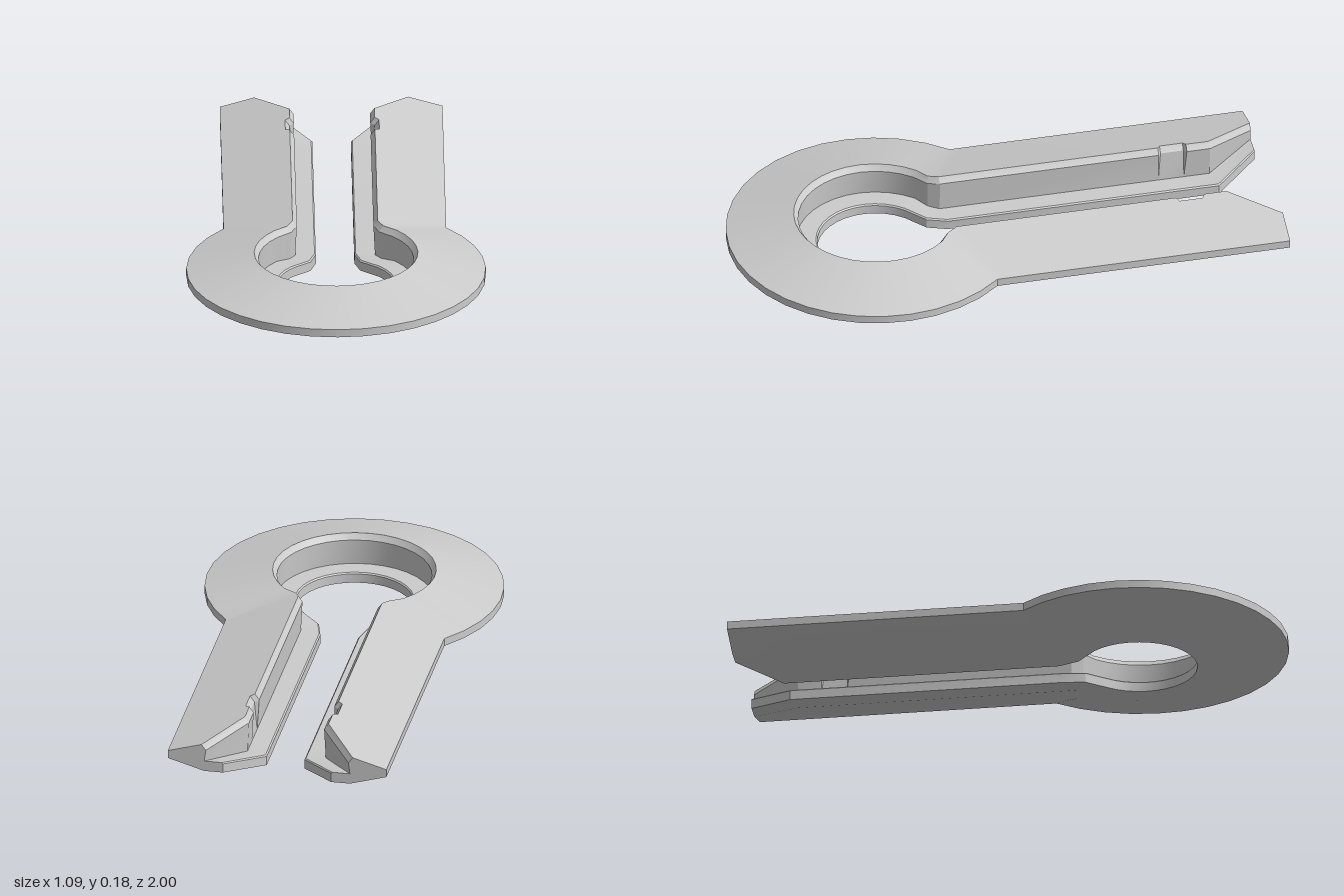
import * as THREE from 'three';
import { toCreasedNormals } from 'three/addons/utils/BufferGeometryUtils.js';

const CZ = 0.455, R_OUT = 0.545, ARM_X = 0.405;

// A station holds plan points [x, z]: lip edge, groove wall and outer rim,
// plus the heights of the upper and lower inner edges.
function armStation(lip, wall, rimZ, notch = 0) {
  return {
    lip, wall, rim: [ARM_X, rimZ], notch,
    top: 0.105 + 0.292 * (ARM_X - wall[0] - 0.01 - notch),
    bottom: Math.max(0, 0.075 - 0.294 * (ARM_X - wall[0])),
  };
}

function ringStation(phi) {
  const at = r => [r * Math.sin(phi), CZ + r * Math.cos(phi)];
  return { lip: at(0.212), wall: at(0.288), rim: at(R_OUT), notch: 0, top: 0.17, bottom: 0.01 };
}

// Closed cross-section: rim, sloped top, overhanging groove wall, ledge, underside
function section({ lip, wall, rim, notch, top, bottom }) {
  const dx = wall[0] - lip[0], dz = wall[1] - lip[1], d = Math.hypot(dx, dz);
  const from = (p, t, y) => new THREE.Vector3(p[0] + dx / d * t, y, p[1] + dz / d * t);
  return [
    from(rim, 0, 0.075),
    from(rim, 0, 0.105),
    from(wall, 0.01 + notch, top),
    from(wall, 0.005 + notch, top - 0.008),
    from(wall, -0.006 + notch, top - 0.022),
    from(wall, 0, bottom + 0.04),
    from(lip, 0.005, bottom + 0.04),
    from(lip, 0, bottom + 0.035),
    from(lip, 0, bottom),
    from(wall, 0, bottom),
  ];
}

function halfSections() {
  const stations = [
    armStation([0.2, -1], [0.27, -1], -1),       // flared arm end
    armStation([0.07, -0.84], [0.145, -0.82], -0.83),
  ];
  // small notch in the upper edge
  for (const [z, n] of [[-0.735, 0], [-0.725, 0.016], [-0.64, 0.016], [-0.63, 0]])
    stations.push(armStation([0.07, z], [0.145, z], z, n));
  // neck between arm and ring
  stations.push(armStation([0.07, 0.17], [0.145, 0.185], 0.05));
  stations.push(armStation([0.09, 0.245], [0.165, 0.225], 0.07));
  // half ring, ending at the front
  const steps = 13, end = Math.PI - Math.asin(ARM_X / R_OUT);
  for (let i = 0; i <= steps; i++) stations.push(ringStation(end * (1 - i / steps)));
  return stations.map(section);
}

function plateGeometry() {
  const half = halfSections();
  const mirrored = half.slice(0, -1).reverse()
    .map(s => s.map(p => new THREE.Vector3(-p.x, p.y, p.z)));
  const rings = [...half, ...mirrored];
  const n = rings[0].length, last = (rings.length - 1) * n;
  const positions = rings.flat().flatMap(p => [p.x, p.y, p.z]);
  const index = [];
  for (let i = 0; i < rings.length - 1; i++) {
    for (let k = 0; k < n; k++) {
      const a = i * n + k, a1 = i * n + (k + 1) % n;
      index.push(a, a1, a + n, a1, a1 + n, a + n);
    }
  }
  // flat caps on both arm ends
  const outline = rings[0].map(p => new THREE.Vector2(p.x, p.y));
  for (const [a, b, c] of THREE.ShapeUtils.triangulateShape(outline, []))
    index.push(a, c, b, last + a, last + b, last + c);

  const geometry = new THREE.BufferGeometry();
  geometry.setAttribute('position', new THREE.Float32BufferAttribute(positions, 3));
  geometry.setIndex(index);
  return toCreasedNormals(geometry, 0.3);
}

export function createModel() {
  const group = new THREE.Group();
  group.name = 'keyholePlate';
  const material = new THREE.MeshStandardMaterial({ color: 0xcccccc, side: THREE.DoubleSide });
  const plate = new THREE.Mesh(plateGeometry(), material);
  plate.name = 'slottedPlate';
  group.add(plate);
  return group;
}
